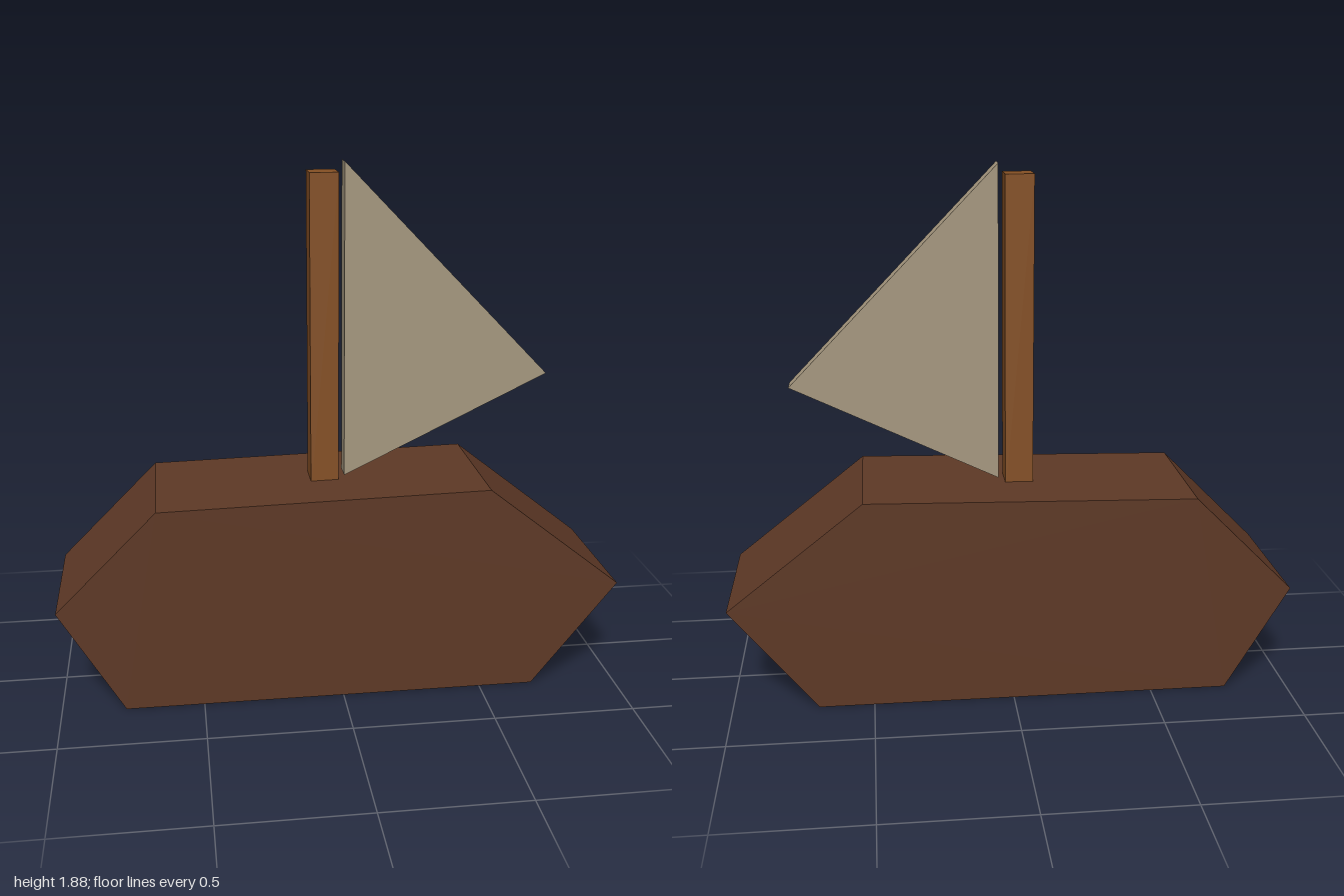
import * as THREE from 'three';

const material = (name, color) => {
  const m = new THREE.MeshStandardMaterial({ color });
  m.name = name;
  return m;
};

// Extrudes an x-y outline to a slab centred on z = 0
function slab(name, points, depth, mat) {
  const shape = new THREE.Shape(points.map(([x, y]) => new THREE.Vector2(x, y)));
  const geometry = new THREE.ExtrudeGeometry(shape, { depth, bevelEnabled: false });
  geometry.translate(0, 0, -depth / 2);
  const mesh = new THREE.Mesh(geometry, mat);
  mesh.name = name;
  return mesh;
}

export function createModel() {
  const boat = new THREE.Group();
  boat.name = 'sailboat';

  const hullBrown = material('hull brown', 0x5e3926);
  const mastBrown = material('mast brown', 0x855024);
  const sailCanvas = material('sail canvas', 0xa6987f);

  // Six-sided hull
  boat.add(slab('hull', [
    [-0.775, 0], [0.695, 0], [1, 0.38], [0.52, 0.76], [-0.645, 0.735], [-1, 0.38],
  ], 0.53, hullBrown));

  // Square mast, sunk a little into the deck
  const mast = new THREE.Mesh(new THREE.BoxGeometry(0.1, 1.14, 0.105), mastBrown);
  mast.name = 'mast';
  mast.position.set(-0.04, 1.27, -0.002);
  boat.add(mast);

  // Triangular sail, just clear of the mast
  boat.add(slab('sail', [[0.032, 0.76], [0.765, 1.115], [0.032, 1.875]], 0.076, sailCanvas));

  return boat;
}
